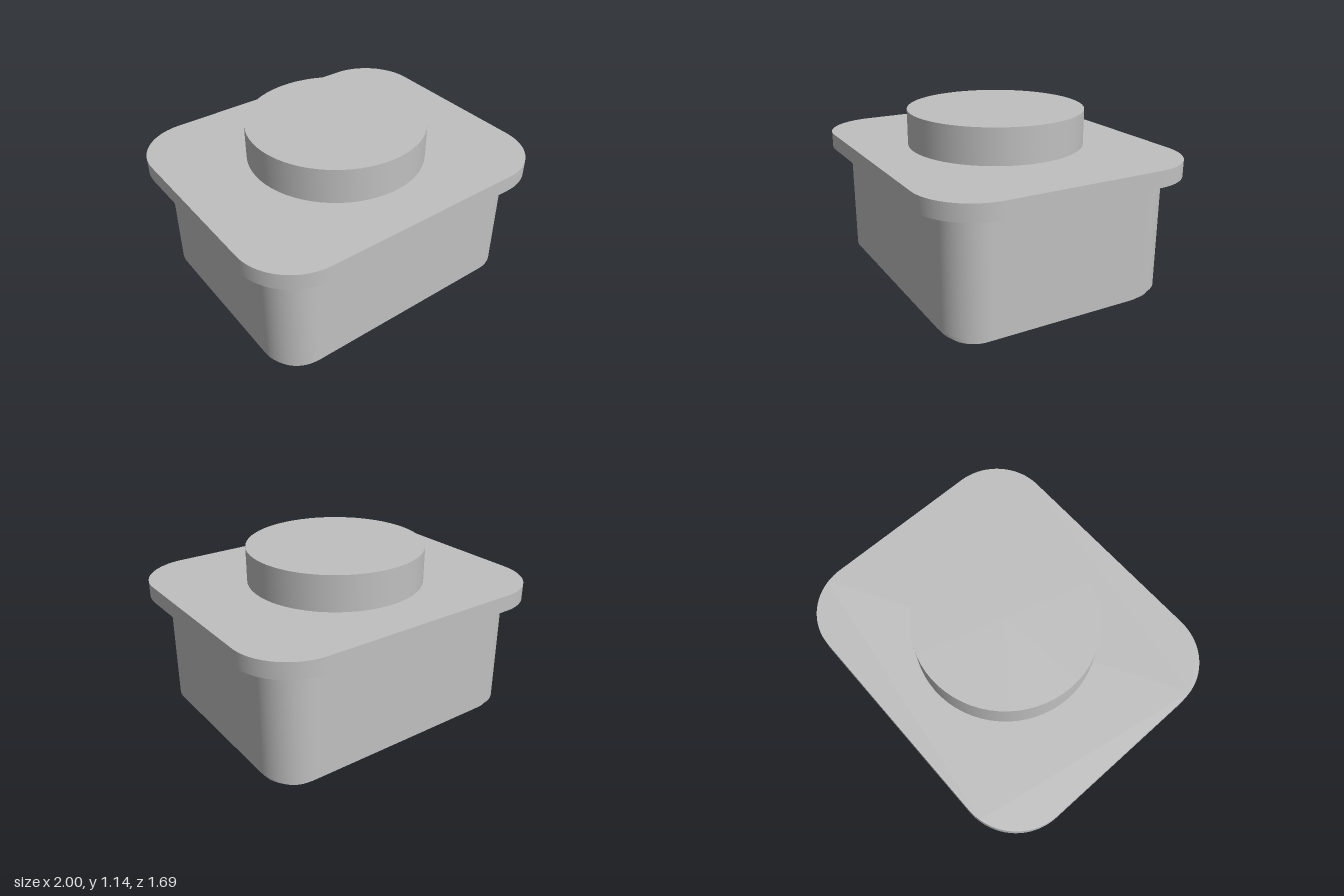
import * as THREE from 'three';
import { toCreasedNormals } from 'three/addons/utils/BufferGeometryUtils.js';

// Upright slab with a rounded rectangular outline, from y0 to y1
function roundedSlab(hx, hz, r, y0, y1) {
  const s = new THREE.Shape();
  s.moveTo(hx, -hz + r);
  s.absarc(hx - r, hz - r, r, 0, Math.PI / 2);
  s.absarc(-hx + r, hz - r, r, Math.PI / 2, Math.PI);
  s.absarc(-hx + r, -hz + r, r, Math.PI, Math.PI * 1.5);
  s.absarc(hx - r, -hz + r, r, Math.PI * 1.5, Math.PI * 2);
  const g = new THREE.ExtrudeGeometry(s, { depth: y1 - y0, bevelEnabled: false, curveSegments: 16 });
  g.rotateX(-Math.PI / 2);
  g.translate(0, y0, 0);
  return toCreasedNormals(g, 0.6);
}

export function createModel() {
  const group = new THREE.Group();
  const grey = new THREE.MeshStandardMaterial({ color: 0xc0c0c0 });
  grey.name = 'plain grey';

  const add = (name, geometry) => {
    const mesh = new THREE.Mesh(geometry, grey);
    mesh.name = name;
    group.add(mesh);
    return mesh;
  };

  // Stepped foot, body and flange: [name, half width, half depth, corner radius, bottom, top]
  const tiers = [
    ['lowerStep', 0.745, 0.593, 0.095, 0, 0.036],
    ['middleStep', 0.812, 0.66, 0.162, 0.036, 0.071],
    ['upperStep', 0.855, 0.7, 0.205, 0.071, 0.107],
    ['body', 0.88, 0.727, 0.23, 0.107, 0.818],
    ['flange', 1, 0.847, 0.35, 0.818, 0.918],
  ];
  for (const [name, ...size] of tiers) add(name, roundedSlab(...size));

  // Round boss on top
  add('topBoss', new THREE.CylinderGeometry(0.55, 0.55, 0.222, 64)).position.y = 1.029;

  return group;
}
